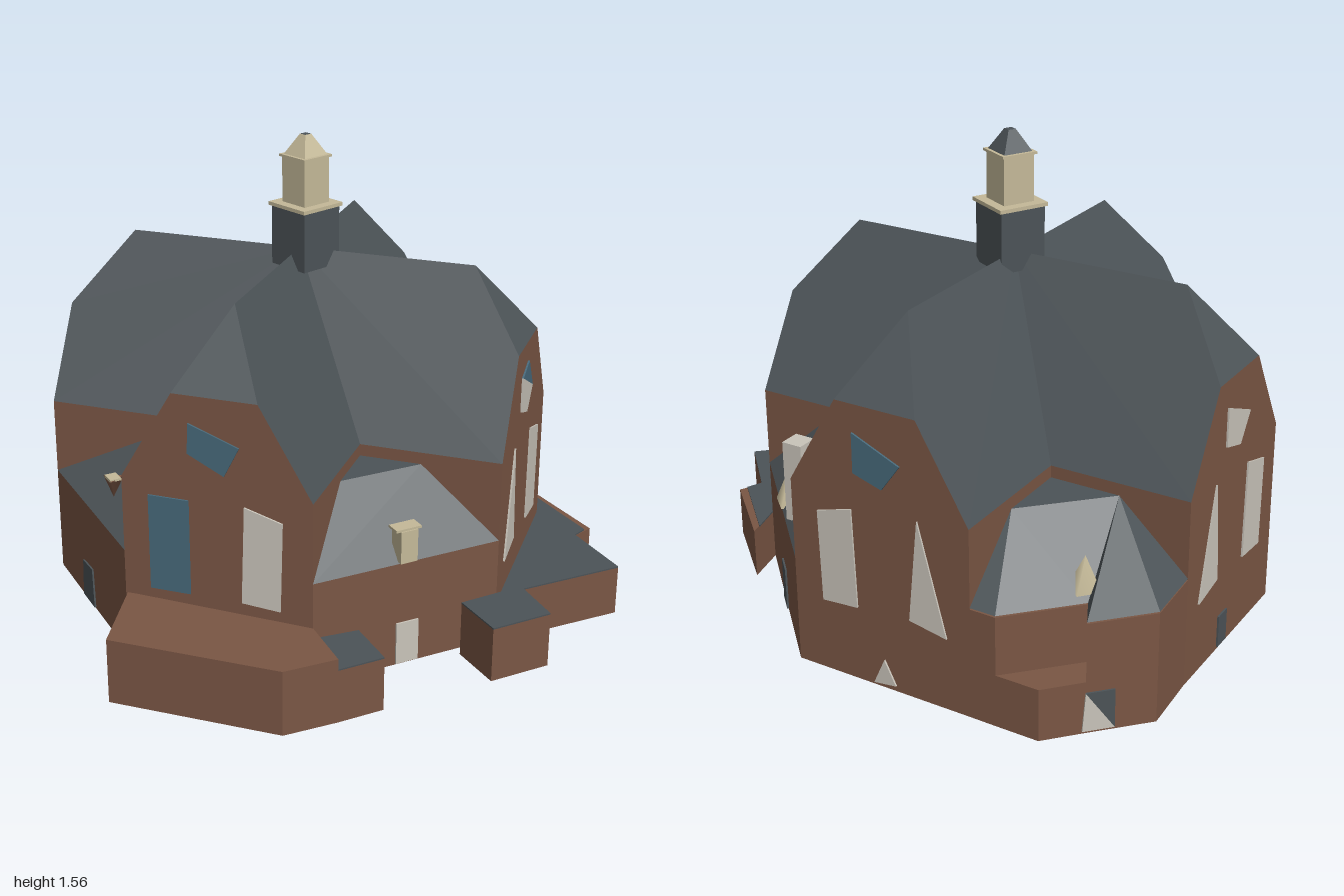
import * as THREE from 'three';

const mat = (name, color, side = THREE.FrontSide) => {
  const m = new THREE.MeshStandardMaterial({ color, side });
  m.name = name;
  return m;
};

export function createModel() {
  const brick = mat('brick', 0x7a5644, THREE.DoubleSide);
  const slate = mat('slate', 0x4c5357, THREE.DoubleSide);
  const beige = mat('beige', 0xc4b998);
  const cream = mat('cream', 0xc9c4ba);
  const blue = mat('blueGlass', 0x47697a);

  const model = new THREE.Group();
  model.name = 'crossChurch';
  const TURN = 0.245, CX = -0.1, CZ = -0.135;
  const HALF = 0.315, REACH = 0.785, EAVE = 0.63, RIDGE = 1.17;

  // plan point of the turned cross, in model space
  const plan = (a, b) => [
    CX + a * Math.cos(TURN) + b * Math.sin(TURN),
    CZ - a * Math.sin(TURN) + b * Math.cos(TURN)];

  const add = (parent, name, geometry, material, pos = [0, 0, 0], ry = 0) => {
    const m = new THREE.Mesh(geometry, material);
    m.name = name;
    m.position.set(...pos);
    m.rotation.y = ry;
    parent.add(m);
    return m;
  };

  // flat faces, each a fan over its corners
  const faces = (parent, name, material, polys) => {
    const v = [];
    for (const p of polys)
      for (let i = 1; i < p.length - 1; i++) v.push(...p[0], ...p[i], ...p[i + 1]);
    const g = new THREE.BufferGeometry();
    g.setAttribute('position', new THREE.Float32BufferAttribute(v, 3));
    g.computeVertexNormals();
    return add(parent, name, g, material);
  };

  const shape = pts => new THREE.Shape(pts.map(p => new THREE.Vector2(...p)));

  // upright block over a plan outline
  const prism = (name, pts, h, material, y = 0) => {
    const g = new THREE.ExtrudeGeometry(shape(pts.map(([x, z]) => [x, -z])),
      { depth: h, bevelEnabled: false });
    g.rotateX(-Math.PI / 2);
    return add(model, name, g, material, [0, y, 0]);
  };

  // thin painted panel on a wall
  const plate = (parent, name, material, pts, z = 0) =>
    add(parent, name, new THREE.ExtrudeGeometry(shape(pts),
      { depth: 0.006, bevelEnabled: false }), material, [0, 0, z]);

  // frame on the wall running from p to q, seen from outside left to right
  const wallFrame = (p, q) => {
    const g = new THREE.Group();
    g.name = 'wallPanels';
    g.position.set((p[0] + q[0]) / 2, 0, (p[1] + q[1]) / 2);
    g.rotation.y = Math.atan2(-(q[1] - p[1]), q[0] - p[0]);
    model.add(g);
    return g;
  };
  const rect = (x0, x1, y0, y1) => [[x0, y0], [x1, y0], [x1, y1], [x0, y1]];

  // main cross floor and core
  const H = HALF, L = REACH;
  prism('crossFloor', [[-H, L], [H, L], [H, H], [L, H], [L, -H], [H, -H], [H, -L],
    [-H, -L], [-H, -H], [-L, -H], [-L, H], [-H, H]].map(p => plan(...p)), 0.01, brick);

  // panels of each gable: front, right, back, left
  const quad = [[0.083, 0.255], [0.21, 0.246], [0.218, 0.55], [0.094, 0.586]];
  const spike = [[-0.236, 0.246], [-0.106, 0.27], [-0.14, 0.61]];
  const attic = [[-0.08, 0.71], [0.02, 0.68], [0.085, 0.77], [-0.08, 0.84]];
  const mirror = pts => pts.map(([x, y]) => [-x, y]);
  const gables = [
    [[blue, rect(-0.225, -0.09, 0.255, 0.58)], [cream, quad],
      [blue, [[-0.09, 0.74], [0.03, 0.68], [0.08, 0.78], [-0.085, 0.84]]]],
    [[cream, spike], [cream, quad],
      [cream, [[-0.075, 0.71], [0.012, 0.68], [0.083, 0.75], [-0.075, 0.83]]],
      [blue, [[-0.075, 0.83], [0.083, 0.75], [0.012, 0.86]]]],
    [[cream, mirror(quad)], [cream, mirror(spike)], [blue, attic],
      [cream, [[-0.03, 0.01], [0.05, 0.02], [0.01, 0.1]]]],
    [[cream, spike], [cream, quad], [cream, attic],
      [slate, rect(-0.08, -0.02, 0.01, 0.12)]]];

  // four arms with half-hipped roofs
  gables.forEach((panels, k) => {
    const arm = new THREE.Group();
    arm.name = ['frontArm', 'rightArm', 'backArm', 'leftArm'][k];
    arm.position.set(CX, 0, CZ);
    arm.rotation.y = TURN + k * Math.PI / 2;
    model.add(arm);
    faces(arm, 'armWalls', brick, [
      [[-H, 0, L], [H, 0, L], [H, EAVE, L], [0.14, 0.93, L], [-0.14, 0.93, L], [-H, EAVE, L]],
      [[H, 0, L], [H, 0, H], [H, EAVE, H], [H, EAVE, L]],
      [[-H, 0, H], [-H, 0, L], [-H, EAVE, L], [-H, EAVE, H]]]);
    faces(arm, 'armRoof', slate, [
      [[0, RIDGE, 0], [0, RIDGE, 0.6], [0.14, 0.93, L], [H, EAVE, L], [H, EAVE, H]],
      [[0, RIDGE, 0], [-H, EAVE, H], [-H, EAVE, L], [-0.14, 0.93, L], [0, RIDGE, 0.6]],
      [[0, RIDGE, 0.6], [-0.14, 0.93, L], [0.14, 0.93, L]]]);
    panels.forEach(([m, pts]) => plate(arm, 'gablePanel', m, pts, L));
  });

  const up = (p, y) => [p[0], y, p[1]];

  // right corner rooms with cut-off roofs
  for (const s of [1, -1]) {
    const P = plan(H, s * H), A = plan(L, s * H), B = plan(H, s * L);
    const R1 = plan(0.52, s * H), R2 = plan(H, s * 0.52);
    prism('cornerRoom', [P, A, B], 0.36, brick);
    const polys = [
      [up(P, 0.59), up(R2, 0.59), up(R1, 0.59)],
      [up(R1, 0.59), up(R2, 0.59), up(B, 0.36), up(A, 0.36)]];
    faces(model, 'cornerRoof', slate, s > 0 ? polys : polys.map(p => p.reverse()));
    const frame = s > 0 ? wallFrame(B, A) : wallFrame(A, B);
    plate(frame, 'cornerDoor', s > 0 ? cream : slate, rect(-0.04, 0.04, 0.005, 0.15));
  }

  // front corner room with a three-sided roof
  {
    const P = plan(-H, H), A = plan(-L, H), B = plan(-H, L);
    prism('frontCornerRoom', [P, A, B], 0.37, brick);
    faces(model, 'frontCornerRoof', slate, [[up(P, 0.6), up(A, 0.37), up(B, 0.37)]]);
    plate(wallFrame(A, B), 'frontCornerDoor', slate,
      [[-0.09, 0.005], [0.02, 0.005], [0.01, 0.145], [-0.08, 0.14]]);
  }

  // back corner room with a notch and low ledge
  {
    const P = plan(-H, -H), A = plan(-L, -H), G = plan(-H, -L);
    const B = [-1, -0.45], D = [-0.89, -0.64], E = [-0.82, -0.56], F = [-0.68, -0.8];
    const K = [-0.82, -0.765];
    prism('backCornerRoom', [P, A, B, D, E, F, G], 0.37, brick);
    prism('backLedge', [E, D, K, F], 0.175, brick);
    const R1 = plan(-0.55, -H), R2 = plan(-H, -0.55);
    const r1 = up(R1, 0.59), r2 = up(R2, 0.59);
    const [a, b, d, e, f, g] = [A, B, D, E, F, G].map(p => up(p, 0.375));
    faces(model, 'backCornerRoof', slate, [[up(P, 0.59), r2, r1], [r1, b, a],
      [r1, d, b], [r1, e, d], [r1, r2, e], [r2, f, e], [r2, g, f]]);
    const frame = wallFrame(K, B);
    plate(frame, 'backDoor', cream, [[-0.05, 0.01], [0.05, 0.01], [-0.04, 0.14]]);
    plate(frame, 'backDoorShade', slate, [[0.05, 0.01], [0.05, 0.14], [-0.04, 0.14]]);
  }

  // low front porch and side annexes
  prism('frontPorch', [[-0.21, 0.7], [-0.08, 0.97], [0.47, 0.83], [0.57, 0.68],
    [0.41, 0.57]], 0.22, brick);
  const annex = (name, pts, h, roof = pts) => {
    prism(name, pts, h - 0.005, brick);
    prism(name + 'Roof', roof, 0.005, slate, h - 0.005);
  };
  annex('porchAnnex', [[0.5, 0.45], [0.65, 0.545], [0.57, 0.68], [0.41, 0.57]], 0.185);
  annex('sideAnnex', [[0.8, -0.07], [0.957, -0.037 + 0.074], [0.85, 0.22], [0.69, 0.13]], 0.19);
  annex('rightAnnex',
    [[0.59, -0.62], [0.52, -0.76], [0.8, -0.61], [0.78, -0.53], [1, -0.395], [0.755, -0.01]],
    0.175,
    [[0.59, -0.62], [0.53, -0.73], [0.79, -0.585], [0.78, -0.53], [1, -0.395], [0.755, -0.01]]);

  // small roof dormers and chimney
  const box = (w, h, d) => new THREE.BoxGeometry(w, h, d);
  add(model, 'rightDormer', box(0.06, 0.11, 0.06), beige, [0.55, 0.42, 0.26], 1.05);
  add(model, 'rightDormerCap', box(0.09, 0.008, 0.05), beige, [0.55, 0.478, 0.26], 1.05);
  add(model, 'backDormer', new THREE.ConeGeometry(0.06, 0.13, 4), beige, [0.3, 0.43, -0.76], 0.3);
  add(model, 'leftDormer', new THREE.ConeGeometry(0.055, 0.11, 4), beige, [-0.78, 0.45, -0.53], 0.3);
  add(model, 'frontDormer', new THREE.ConeGeometry(0.04, 0.07, 3), brick,
    [-0.42, 0.455, 0.5], 0.5).rotation.x = Math.PI;
  add(model, 'frontDormerTop', box(0.05, 0.008, 0.04), beige, [-0.42, 0.49, 0.5], -0.5);
  add(model, 'chimney', box(0.07, 0.27, 0.07), cream, [0.17, 0.515, -0.82], TURN);

  // central turret
  const turret = new THREE.Group();
  turret.name = 'turret';
  turret.position.set(-0.075, 0, -0.13);
  turret.rotation.y = -TURN;
  model.add(turret);
  add(turret, 'turretBase', box(0.157, 0.2, 0.157), slate, [0, 1.22, 0]);
  add(turret, 'lowerCornice', box(0.172, 0.012, 0.172), beige, [0, 1.326, 0]);
  add(turret, 'lantern', box(0.108, 0.155, 0.108), beige, [0, 1.41, 0]);
  add(turret, 'upperCornice', box(0.122, 0.008, 0.122), beige, [0, 1.489, 0]);

  // cap with alternating slate and beige sides
  const lo = [[-0.05, -0.05], [0.05, -0.05], [0.05, 0.05], [-0.05, 0.05]].map(p => up(p, 1.493));
  const hi = [[-0.013, -0.013], [0.013, -0.013], [0.013, 0.013], [-0.013, 0.013]].map(p => up(p, 1.56));
  const capSide = i => [lo[i], hi[i], hi[(i + 1) % 4], lo[(i + 1) % 4]];
  faces(turret, 'capSlate', slate, [capSide(0), capSide(3), [hi[3], hi[2], hi[1], hi[0]]]);
  faces(turret, 'capBeige', beige, [capSide(1), capSide(2)]);

  return model;
}
